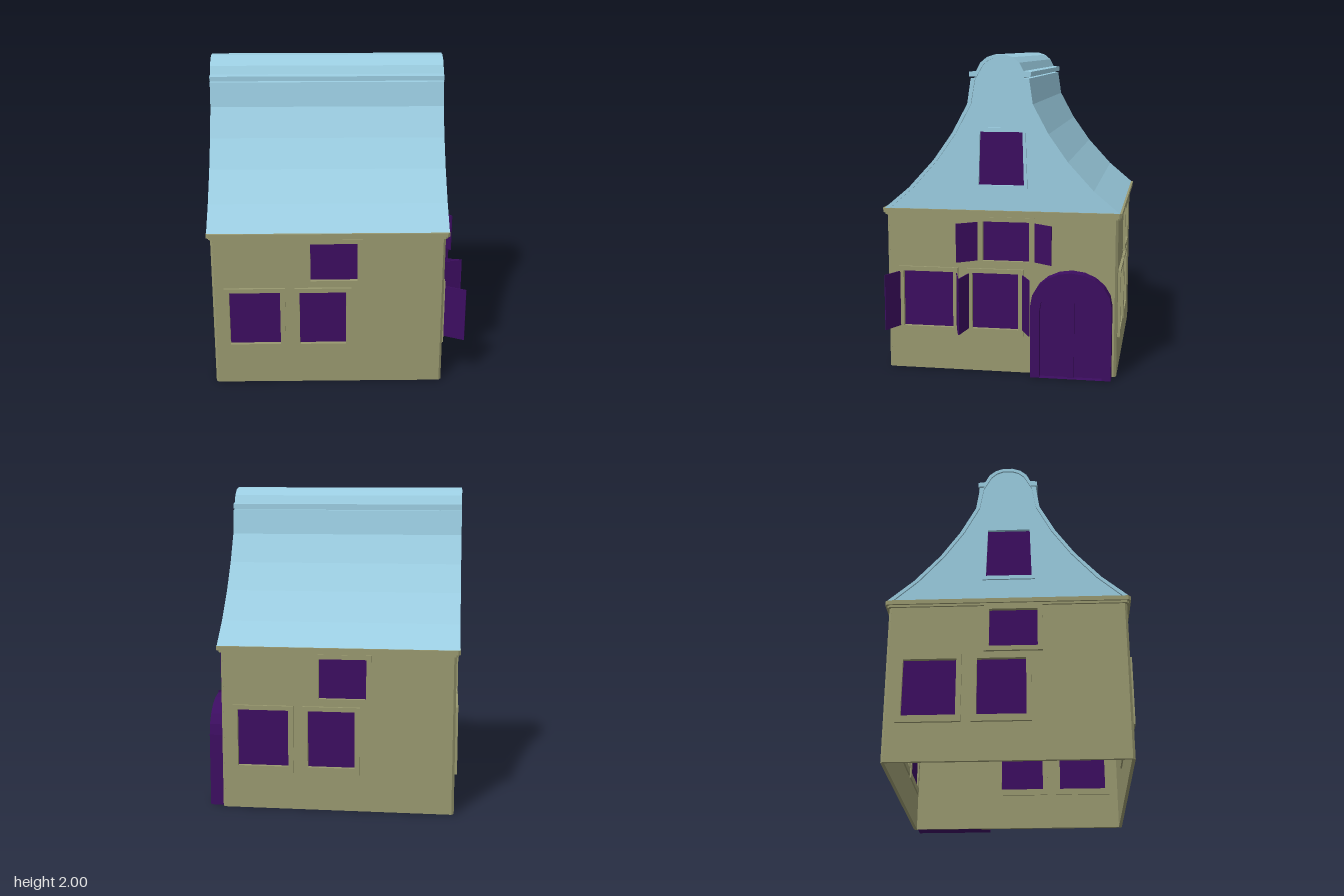
import * as THREE from 'three';

const mat = (color) => new THREE.MeshStandardMaterial({ color, side: THREE.DoubleSide, flatShading: true });

// Closed outline from [x, y] pairs
const outline = (pts, Type = THREE.Shape) => new Type(pts.map(([x, y]) => new THREE.Vector2(x, y)));

// Trapezoid outline: half widths at bottom and top
const trapezoid = (cx, y0, y1, bottom, top = bottom) =>
  [[cx - bottom, y0], [cx + bottom, y0], [cx + top, y1], [cx - top, y1]];

// Square outline with clipped corners
const clippedSquare = (h, c) => [
  [-h + c, -h], [h - c, -h], [h, -h + c], [h, h - c],
  [h - c, h], [-h + c, h], [-h, h - c], [-h, -h + c],
];

// Round-headed opening standing on the ground
function archOutline(cx, halfWidth, spring, top) {
  const pts = [[cx - halfWidth, 0], [cx + halfWidth, 0]];
  for (let i = 0; i <= 10; i++) {
    const a = (i / 10) * Math.PI;
    pts.push([cx + halfWidth * Math.cos(a), spring + (top - spring) * Math.sin(a)]);
  }
  return pts;
}

// Plate from depth z0 to z1, with optional holes
function plate(name, material, pts, holes, z0, z1) {
  const shape = outline(pts);
  holes.forEach((h) => shape.holes.push(outline(h, THREE.Path)));
  const geo = new THREE.ExtrudeGeometry(shape, { depth: z1 - z0, bevelEnabled: false });
  geo.translate(0, 0, z0);
  const mesh = new THREE.Mesh(geo, material);
  mesh.name = name;
  return mesh;
}

export function createModel() {
  const model = new THREE.Group();
  model.name = 'house';
  const house = new THREE.Group();
  house.name = 'building';
  house.position.x = -0.08;
  model.add(house);

  const stone = mat(0x98986f);
  const blue = mat(0x9bcde1);
  const purple = mat(0x3c0d60);

  // Window openings: centre, bottom, top, half width, frame width
  const windows = [
    [-0.465, 0.28, 0.64, 0.16],
    [-0.035, 0.28, 0.64, 0.147],
    [0.035, 0.72, 0.97, 0.147],
  ];

  // Rim of the roof, from eave to ridge (half), and its inner line
  const rim = [
    [0.74, 1.04], [0.58, 1.175], [0.42, 1.35], [0.3, 1.52], [0.203, 1.7], [0.18, 1.855],
    [0.15, 1.857], [0.15, 1.865], [0.19, 1.865], [0.19, 1.895], [0.146, 1.9],
    [0.12, 1.95], [0.08, 1.983], [0.03, 2.0],
  ];
  const lining = [
    [0.705, 1.04], [0.55, 1.175], [0.395, 1.35], [0.275, 1.52], [0.18, 1.7], [0.155, 1.845],
    [0.13, 1.89], [0.105, 1.935], [0.07, 1.965], [0.028, 1.98],
  ];
  const mirrored = (half) => [...half, ...half.map(([x, y]) => [-x, y]).reverse()];

  // Four equal walls with windows; the two end walls also carry gables
  const gableHole = trapezoid(0.007, 1.2, 1.53, 0.142, 0.132);
  ['front', 'left', 'back', 'right'].forEach((side, i) => {
    const wall = new THREE.Group();
    wall.name = `${side}Side`;
    wall.rotation.y = (i * Math.PI) / 2;
    house.add(wall);

    const holes = windows.map(([c, y0, y1, h]) => trapezoid(c, y0, y1, h));
    wall.add(plate('wall', stone, trapezoid(0, 0, 1, 0.715), holes, 0.71, 0.73));
    windows.forEach(([c, y0, y1, h], k) => {
      const edge = trapezoid(c, y0 - (k < 2 ? 0.042 : 0.03), y1 + 0.028, h + 0.032);
      wall.add(plate('windowFrame', stone, edge, [holes[k]], 0.7, 0.746));
      wall.add(plate('windowPane', purple, holes[k], [], 0.712, 0.72));
    });

    // Clipped corner strip
    const corner = new THREE.Mesh(new THREE.BoxGeometry(0.0214, 1, 0.012), stone);
    corner.name = 'cornerStrip';
    corner.position.set(0.7183, 0.5, 0.7183);
    corner.rotation.y = Math.PI / 4;
    wall.add(corner);

    if (i % 2 === 1) {
      wall.add(plate('gable', blue, mirrored(lining), [gableHole], 0.72, 0.738));
      wall.add(plate('gableWindowFrame', blue, trapezoid(0.007, 1.175, 1.558, 0.163, 0.15),
        [gableHole], 0.715, 0.75));
      wall.add(plate('gableWindowPane', purple, gableHole, [], 0.722, 0.73));
    }
  });

  // Cornice in two steps, open in the middle
  [[0.742, 0.998, 1.012], [0.753, 1.012, 1.04]].forEach(([h, y0, y1]) => {
    const ring = plate('cornice', stone, clippedSquare(h, 0.015), [clippedSquare(0.705, 0.01)], -y1, -y0);
    ring.rotation.x = Math.PI / 2;
    house.add(ring);
  });

  // Curved roof shell running between the gables
  const roof = plate('roof', blue, [...mirrored(rim), ...mirrored(lining).reverse()], [], -0.75, 0.75);
  roof.rotation.y = Math.PI / 2;
  house.add(roof);

  // Door and open shutters on the entrance side
  const entrance = new THREE.Group();
  entrance.name = 'entrance';
  entrance.rotation.y = Math.PI / 2;
  house.add(entrance);

  const opening = archOutline(0.45, 0.195, 0.43, 0.6);
  entrance.add(plate('doorFrame', purple, archOutline(0.45, 0.252, 0.46, 0.675), [opening], 0.72, 0.815));
  entrance.add(plate('doorLeaf', purple, opening, [], 0.72, 0.772));
  entrance.add(plate('doorStrip', purple, trapezoid(0.45, 0, 0.597, 0.02), [], 0.76, 0.79));

  // Shutters: hinge (u, depth), free edge (u, depth), bottom, top
  [
    [-0.65, 0.745, -0.712, 0.873, 0.28, 0.635],
    [-0.28, 0.745, -0.238, 0.9, 0.28, 0.635],
    [-0.205, 0.745, -0.235, 0.908, 0.28, 0.635],
    [0.14, 0.745, 0.2, 0.872, 0.28, 0.635],
    [-0.147, 0.738, -0.265, 0.825, 0.72, 0.965],
    [0.21, 0.738, 0.33, 0.822, 0.72, 0.965],
  ].forEach(([u0, d0, u1, d1, y0, y1]) => {
    const width = Math.hypot(u1 - u0, d1 - d0);
    const shutter = new THREE.Mesh(new THREE.BoxGeometry(width, y1 - y0, 0.006), purple);
    shutter.name = 'shutter';
    shutter.position.set((u0 + u1) / 2, (y0 + y1) / 2, (d0 + d1) / 2);
    shutter.rotation.y = -Math.atan2(d1 - d0, u1 - u0);
    entrance.add(shutter);
  });

  return model;
}
